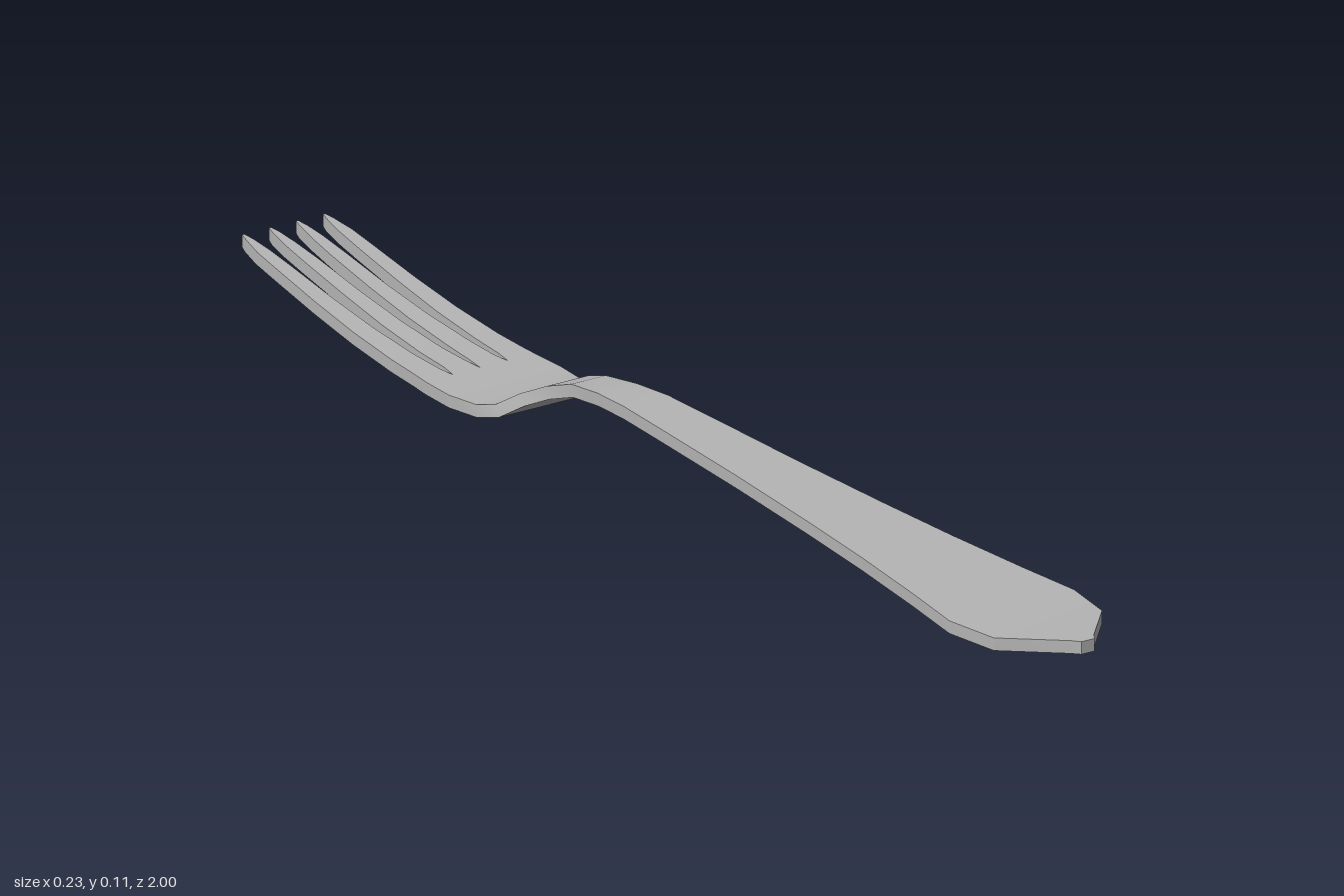
import * as THREE from 'three';
import { toCreasedNormals } from 'three/addons/utils/BufferGeometryUtils.js';

// Side profile of the fork's middle line: [z, y], from handle end to tine tips
const PROFILE = [
  [1, 0.022], [0.9, 0.018], [0.81, 0.022], [0.4, 0.049], [0, 0.075], [-0.1, 0.081],
  [-0.17, 0.08], [-0.24, 0.073], [-0.29, 0.057], [-0.33, 0.038], [-0.36, 0.017],
  [-0.39, 0.011], [-0.45, 0.011], [-0.51, 0.014], [-0.6, 0.022], [-0.7, 0.036],
  [-0.8, 0.055], [-0.9, 0.077], [-1, 0.099],
];
const HALF = 0.01;

function midY(z) {
  let i = 0;
  while (i < PROFILE.length - 2 && z < PROFILE[i + 1][0]) i++;
  const [z0, y0] = PROFILE[i], [z1, y1] = PROFILE[i + 1];
  return y0 + (y1 - y0) * (z - z0) / (z1 - z0);
}

// Bent metal strip through sections [z, xLow, xHigh], listed from +z to -z
function strip(name, sections, material, capFront, capBack) {
  const pos = [], index = [];
  const quad = (a, b, c, d) => index.push(a, b, c, a, c, d);
  sections.forEach(([z, x0, x1], s) => {
    const slope = (midY(z + 0.015) - midY(z - 0.015)) / 0.03;
    const len = Math.hypot(1, slope);
    const dy = HALF / len, dz = Math.abs(z) === 1 ? 0 : -slope * HALF / len;
    const y = midY(z);
    pos.push(x0, y + dy, z + dz, x1, y + dy, z + dz, x1, y - dy, z - dz, x0, y - dy, z - dz);
    if (s === 0) return;
    const a = (s - 1) * 4, b = s * 4;
    for (let k = 0; k < 4; k++) {
      const n = (k + 1) % 4;
      quad(a + k, a + n, b + n, b + k);
    }
  });
  const e = (sections.length - 1) * 4;
  if (capFront) quad(0, 3, 2, 1);
  if (capBack) quad(e, e + 1, e + 2, e + 3);
  const geometry = new THREE.BufferGeometry();
  geometry.setAttribute('position', new THREE.Float32BufferAttribute(pos, 3));
  geometry.setIndex(index);
  const mesh = new THREE.Mesh(toCreasedNormals(geometry, 0.5), material);
  mesh.name = name;
  return mesh;
}

export function createModel() {
  const fork = new THREE.Group();
  fork.name = 'fork';
  const steel = new THREE.MeshStandardMaterial({ color: 0xb4b4b4 });
  steel.name = 'steel';
  const symmetric = ([z, w]) => [z, -w, w];

  // Handle, widening to a blunt point
  fork.add(strip('handle', [
    [1, 0.012], [0.985, 0.022], [0.9, 0.1], [0.81, 0.115], [0.7, 0.1], [0.55, 0.083],
    [0.4, 0.07], [0.2, 0.056], [0, 0.046], [-0.1, 0.041], [-0.17, 0.036],
  ].map(symmetric), steel, true, false));

  // Neck dropping into the flat base of the tines
  fork.add(strip('neckAndBase', [
    [-0.17, 0.036], [-0.24, 0.032], [-0.29, 0.04], [-0.33, 0.058], [-0.36, 0.081],
    [-0.39, 0.096], [-0.45, 0.104], [-0.51, 0.102],
  ].map(symmetric), steel, false, true));

  // Four tapering tines: [z, inner edge, outer edge], mirrored in x
  const outer = [
    [-0.51, 0.051, 0.102], [-0.54, 0.055, 0.1], [-0.6, 0.057, 0.098], [-0.7, 0.059, 0.095],
    [-0.8, 0.061, 0.092], [-0.9, 0.063, 0.089], [-0.95, 0.065, 0.087],
    [-0.985, 0.069, 0.081], [-1, 0.073, 0.077],
  ];
  const inner = [
    [-0.51, 0, 0.051], [-0.54, 0.003, 0.046], [-0.6, 0.006, 0.045], [-0.7, 0.008, 0.042],
    [-0.8, 0.01, 0.039], [-0.9, 0.012, 0.037], [-0.95, 0.015, 0.035],
    [-0.985, 0.019, 0.031], [-1, 0.023, 0.027],
  ];
  for (const [name, sections] of [['outerTine', outer], ['innerTine', inner]]) {
    fork.add(strip(name + 'Left', sections, steel, false, true));
    fork.add(strip(name + 'Right', sections.map(([z, a, b]) => [z, -b, -a]), steel, false, true));
  }
  return fork;
}
